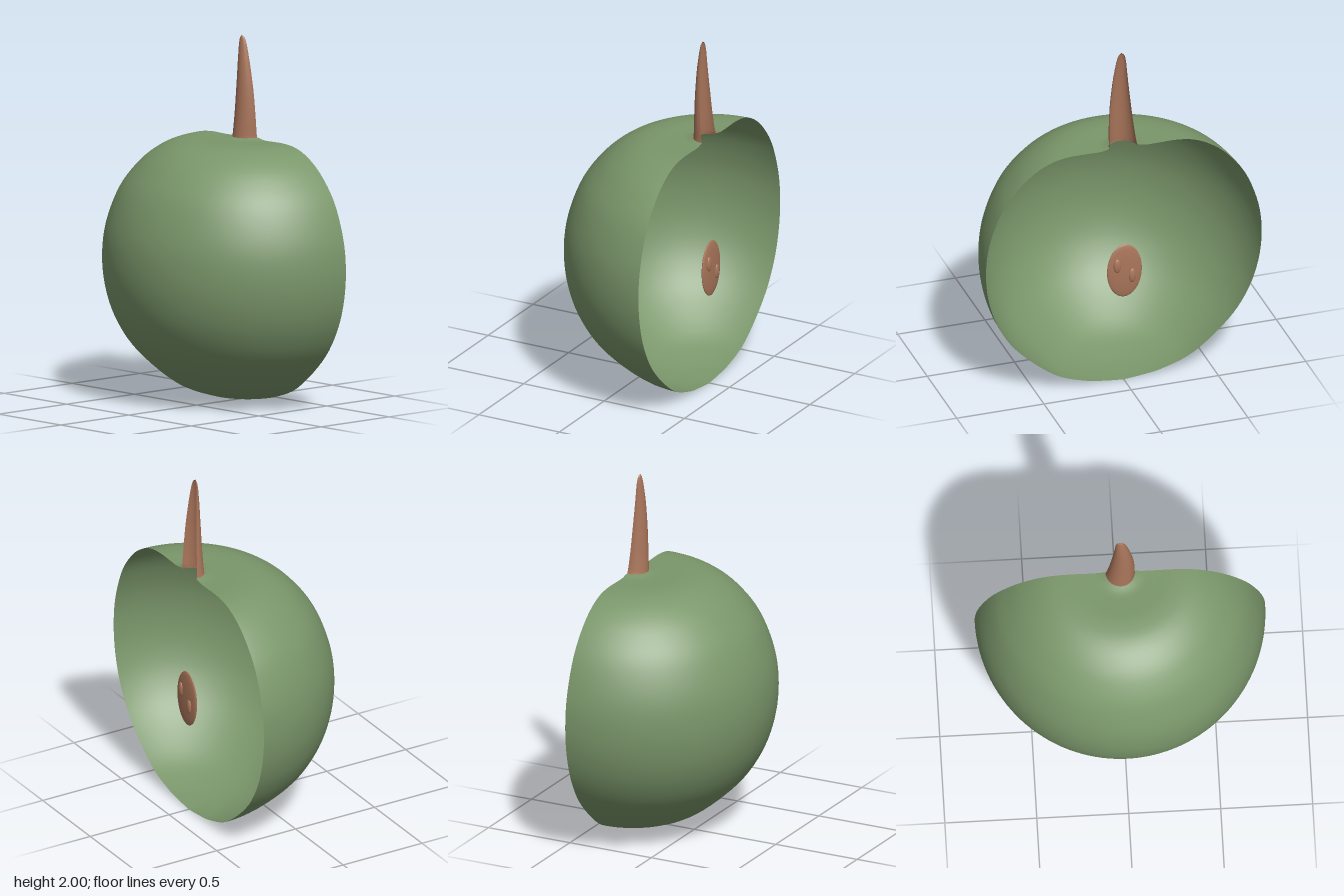
import * as THREE from 'three';

const CUT_X = 0.375; // plane where the fruit is halved

export function createModel() {
  const group = new THREE.Group();
  const green = new THREE.MeshStandardMaterial({ color: 0x7a966a, side: THREE.DoubleSide });
  green.name = 'apple green';
  const brown = new THREE.MeshStandardMaterial({ color: 0xa9755a, side: THREE.DoubleSide });
  brown.name = 'stem brown';

  const add = (name, geometry, material, x = 0, y = 0, z = 0) => {
    const mesh = new THREE.Mesh(geometry, material);
    mesh.name = name;
    mesh.position.set(x, y, z);
    group.add(mesh);
    return mesh;
  };

  // Hollow half fruit: a half turn of the profile, with a small lip round the stem
  const profile = new THREE.SplineCurve([
    [0, 0], [0.1, 0.01], [0.22, 0.03], [0.4, 0.1], [0.6, 0.27], [0.71, 0.43],
    [0.77, 0.6], [0.79, 0.78], [0.77, 0.96], [0.7, 1.15], [0.6, 1.285], [0.5, 1.368],
    [0.4, 1.415], [0.3, 1.431], [0.2, 1.431], [0.13, 1.431], [0.08, 1.441],
  ].map(([r, y]) => new THREE.Vector2(r, y))).getPoints(80);
  add('fruitShell', new THREE.LatheGeometry(profile, 64, Math.PI, Math.PI), green, CUT_X);

  // Stem: open half tube, tapering and bending; rows are [y, rimX, backX, zLeft, zRight]
  const rows = [
    [1.43, 0.373, 0.288, 0.083, -0.083], [1.45, 0.37, 0.29, 0.08, -0.076],
    [1.55, 0.362, 0.296, 0.079, -0.062], [1.7, 0.354, 0.302, 0.07, -0.046],
    [1.85, 0.346, 0.31, 0.05, -0.032], [1.95, 0.341, 0.32, 0.03, -0.024],
    [1.985, 0.338, 0.326, 0.018, -0.016], [2.0, 0.335, 0.333, 0.001, -0.001],
  ];
  const middle = new THREE.CatmullRomCurve3(
    rows.map(([y, rim, , a, b]) => new THREE.Vector3(rim, y, (a + b) / 2)));
  const size = new THREE.CatmullRomCurve3(
    rows.map(([, rim, back, a, b]) => new THREE.Vector3(rim - back, 0, (a - b) / 2)));
  const stem = new THREE.CylinderGeometry(1, 1, 1, 24, 28, true, Math.PI, Math.PI);
  const pos = stem.attributes.position;
  for (let i = 0; i < pos.count; i++) {
    const t = THREE.MathUtils.clamp(pos.getY(i) + 0.5, 0, 1);
    const m = middle.getPoint(t);
    const s = size.getPoint(t);
    pos.setXYZ(i, m.x + pos.getX(i) * s.x, m.y, m.z + pos.getZ(i) * s.z);
  }
  stem.computeVertexNormals();
  add('stem', stem, brown);

  // Core disc and its two seeds
  const ellipsoid = (name, x, y, z, rx, ry, rz) =>
    add(name, new THREE.SphereGeometry(1, 40, 24).scale(rx, ry, rz), brown, x, y, z);
  ellipsoid('core', 0.385, 0.68, 0, 0.016, 0.16, 0.1);
  ellipsoid('leftSeed', 0.398, 0.72, 0.045, 0.012, 0.042, 0.021);
  ellipsoid('rightSeed', 0.398, 0.65, -0.041, 0.012, 0.042, 0.021);

  return group;
}
